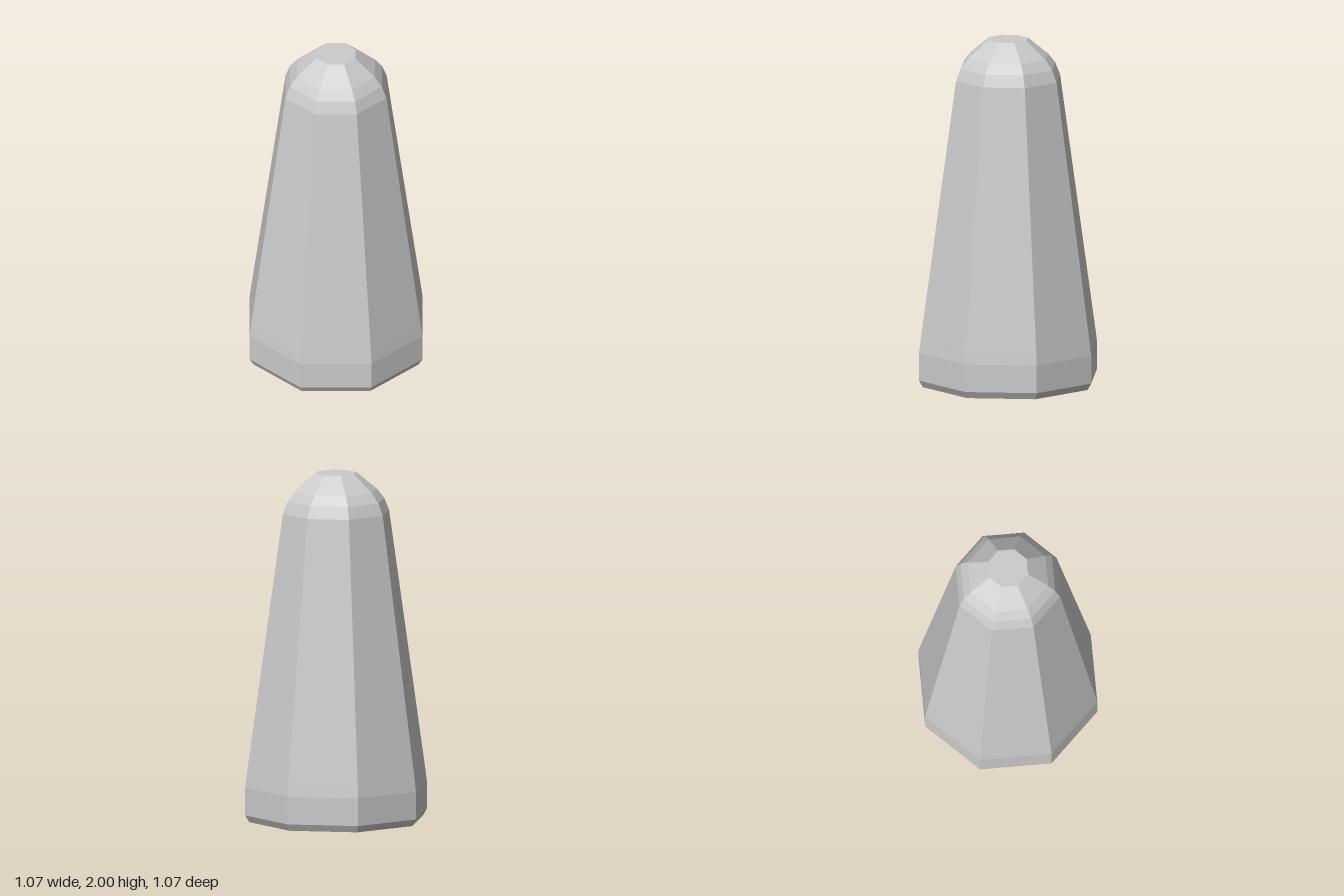
import * as THREE from 'three';

export function createModel() {
  const group = new THREE.Group();
  group.name = 'taperedPost';

  // Corner radius and height, from the base centre up to the top centre
  const profile = [
    [0, 0],
    [0.51, 0], [0.534, 0.04],                // bevelled foot
    [0.534, 0.2], [0.525, 0.27],             // upright base band
    [0.312, 1.775],                          // tapering shaft
    [0.283, 1.845], [0.24, 1.9], [0.12, 2],  // rounded crown
    [0, 2],
  ].map(([r, y]) => new THREE.Vector2(r, y));

  // Eight-sided body with corners on the x and z axes
  const body = new THREE.Mesh(
    new THREE.LatheGeometry(profile, 8),
    new THREE.MeshStandardMaterial({ color: 0xcccccc, flatShading: true })
  );
  body.name = 'body';
  group.add(body);

  return group;
}
